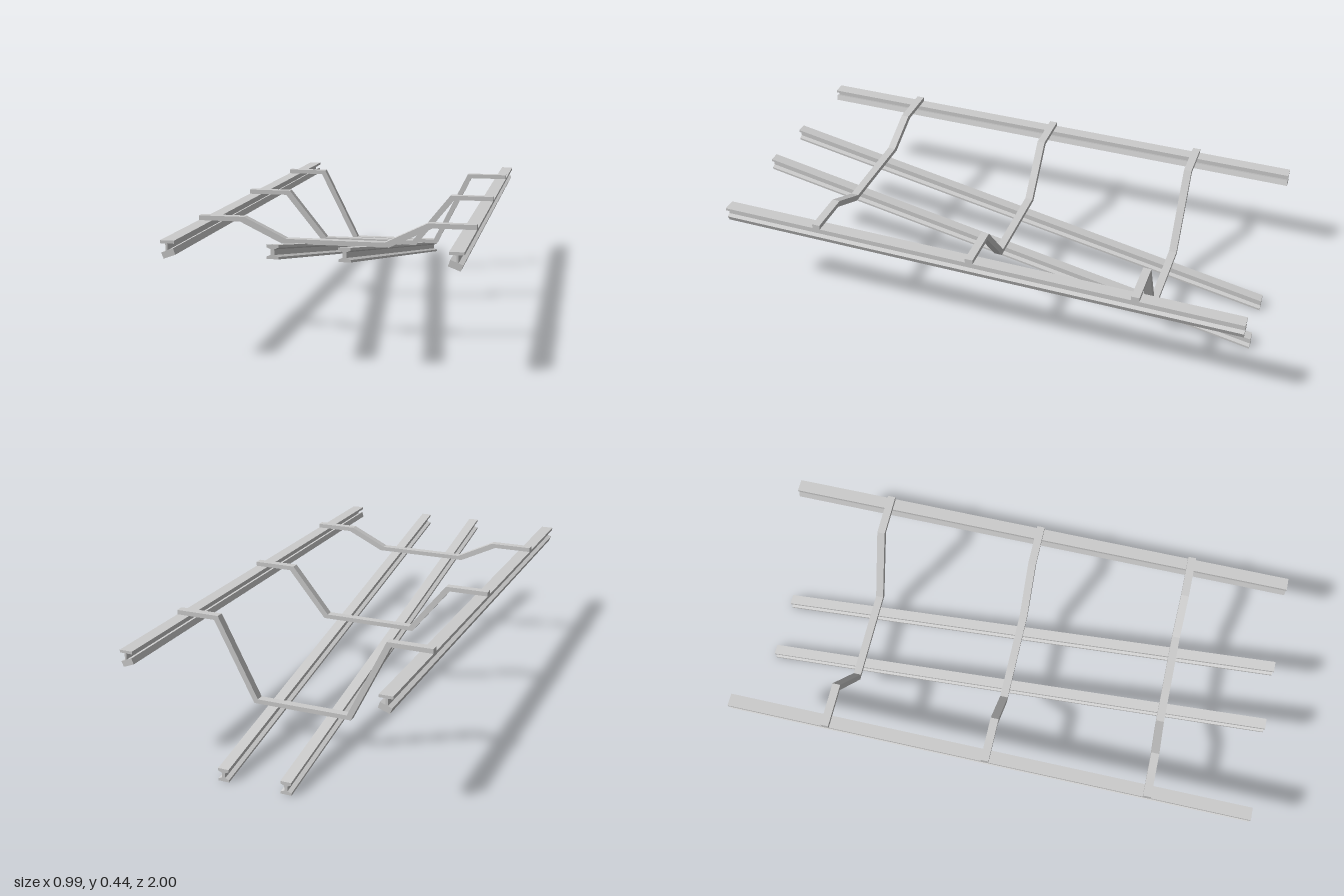
import * as THREE from 'three';

const material = new THREE.MeshStandardMaterial({ color: 0xcccccc, flatShading: true });

// Extrude an outline in the x/y plane along z, centred on the given z
function bar(name, points, depth, z = 0) {
  const shape = new THREE.Shape(points.map(([x, y]) => new THREE.Vector2(x, y)));
  const geometry = new THREE.ExtrudeGeometry(shape, { depth, bevelEnabled: false });
  geometry.translate(0, 0, z - depth / 2);
  const mesh = new THREE.Mesh(geometry, material);
  mesh.name = name;
  return mesh;
}

// Complete a right-half outline with its mirror image
const mirrored = (half) => [...half, ...half.map(([x, y]) => [-x, y]).reverse()];

// Sloping I-beam with vertical end cuts
function slopedBeam(x) {
  const section = mirrored([
    [0.02, 0], [0.02, 0.008], [0.006, 0.014], [0.006, 0.032], [0.02, 0.038], [0.02, 0.047],
  ]).map(([px, py]) => [px + x, py]);
  const mesh = bar('slopedBeam', section, 2);
  const pos = mesh.geometry.attributes.position;
  for (let i = 0; i < pos.count; i++) {
    pos.setY(i, pos.getY(i) + 0.1875 * (pos.getZ(i) + 1));
  }
  mesh.geometry.computeVertexNormals();
  return mesh;
}

// Side rail: flat top flange, thin web and a tilted running bar
function sideRail(side) {
  const rail = new THREE.Group();
  rail.name = side > 0 ? 'leftRail' : 'rightRail';
  const parts = {
    railFlange: [[0.446, 0.412], [0.494, 0.412], [0.494, 0.422], [0.446, 0.422]],
    railWeb: [[0.469, 0.38], [0.476, 0.38], [0.476, 0.412], [0.469, 0.412]],
    railFoot: [[0.483, 0.361], [0.491, 0.381], [0.45, 0.397], [0.443, 0.376]],
  };
  for (const [name, points] of Object.entries(parts)) {
    rail.add(bar(name, points.map(([x, y]) => [x * side, y]), 2));
  }
  return rail;
}

// Bent cross frame hanging between the side rails
function crossFrame(z, floor) {
  const lower = [[0.191, floor], [0.342, 0.422], [0.494, 0.422]];
  const upper = [[0.494, 0.439], [0.326, 0.439], [0.176, floor + 0.017]];
  return bar('crossFrame', mirrored([...lower, ...upper]), 0.03, z);
}

export function createModel() {
  const model = new THREE.Group();
  model.name = 'railFrame';
  for (const side of [-1, 1]) {
    model.add(slopedBeam(side * 0.117), sideRail(side));
  }
  for (const [z, floor] of [[0.613, 0.349], [0, 0.236], [-0.617, 0.12]]) {
    model.add(crossFrame(z, floor));
  }
  return model;
}
